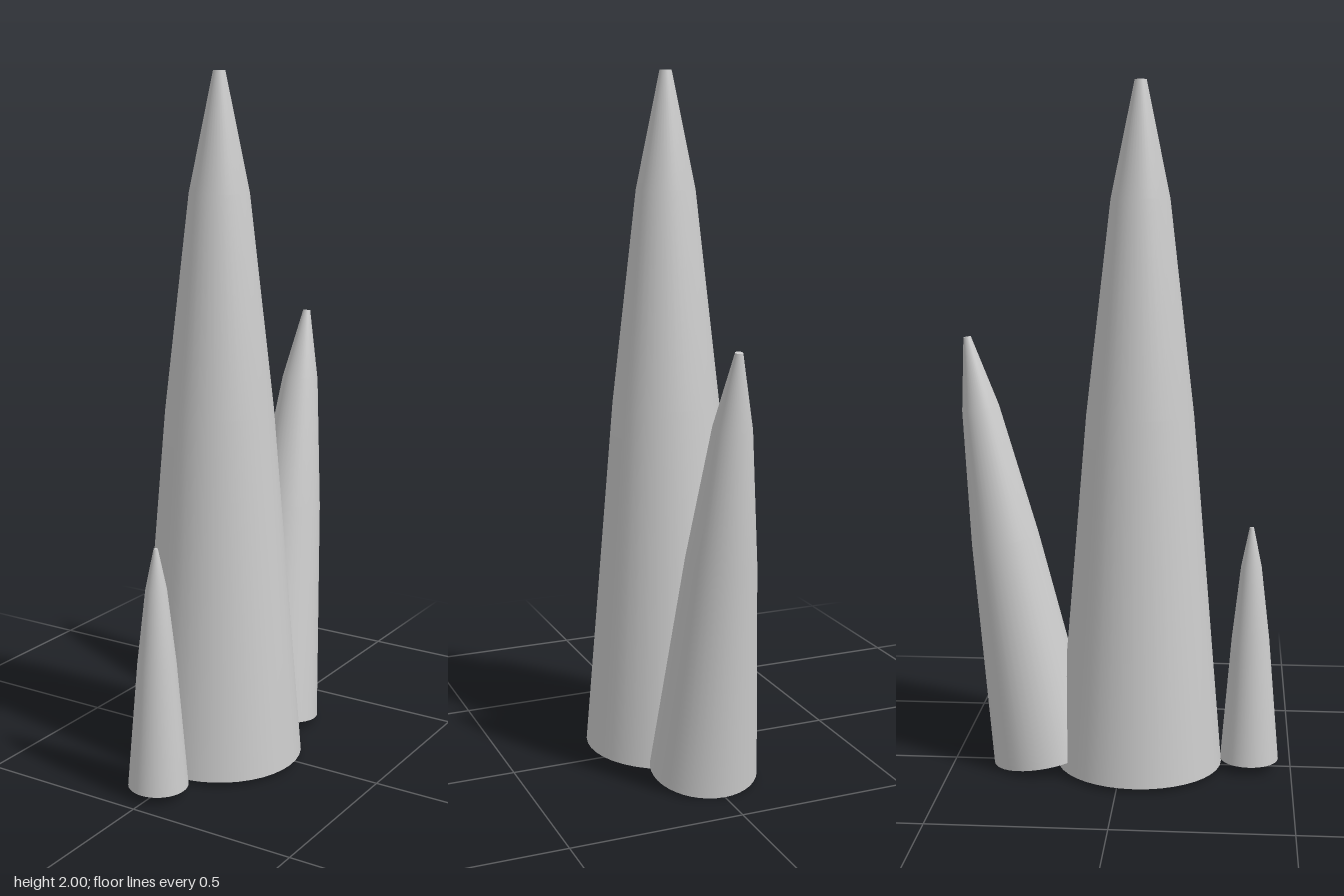
import * as THREE from 'three';

const material = new THREE.MeshStandardMaterial({ color: 0xcccccc });

// Spike profile as [radius, height]: three frustums that steepen towards a blunt tip
const profile = [[0.243, 0], [0.156, 1.04], [0.085, 1.655], [0.017, 1.985]];

// One tapering spike with closed ends, standing on its base centre
function spike(name, scale, y, z, tilt = 0) {
  const group = new THREE.Group();
  group.name = name;

  const shell = new THREE.Mesh(
    new THREE.LatheGeometry(profile.map(([r, h]) => new THREE.Vector2(r, h)), 40),
    material
  );
  shell.name = 'shell';
  group.add(shell);

  // Flat discs closing the base and the tip
  const ends = [['baseCap', profile[0], Math.PI / 2], ['tipCap', profile[3], -Math.PI / 2]];
  for (const [capName, [r, h], turn] of ends) {
    const cap = new THREE.Mesh(new THREE.CircleGeometry(r, 40), material);
    cap.name = capName;
    cap.rotation.x = turn;
    cap.position.y = h;
    group.add(cap);
  }

  group.scale.setScalar(scale);
  group.position.set(0, y, z);
  group.rotation.x = tilt;
  return group;
}

export function createModel() {
  const model = new THREE.Group();
  model.name = 'spikeCluster';
  model.add(
    spike('mainSpike', 1, 0.015, 0.052),
    spike('leaningBackSpike', 0.637, 0.03, -0.23, -THREE.MathUtils.degToRad(10)),
    spike('smallFrontSpike', 0.352, 0.028, 0.378)
  );
  return model;
}
